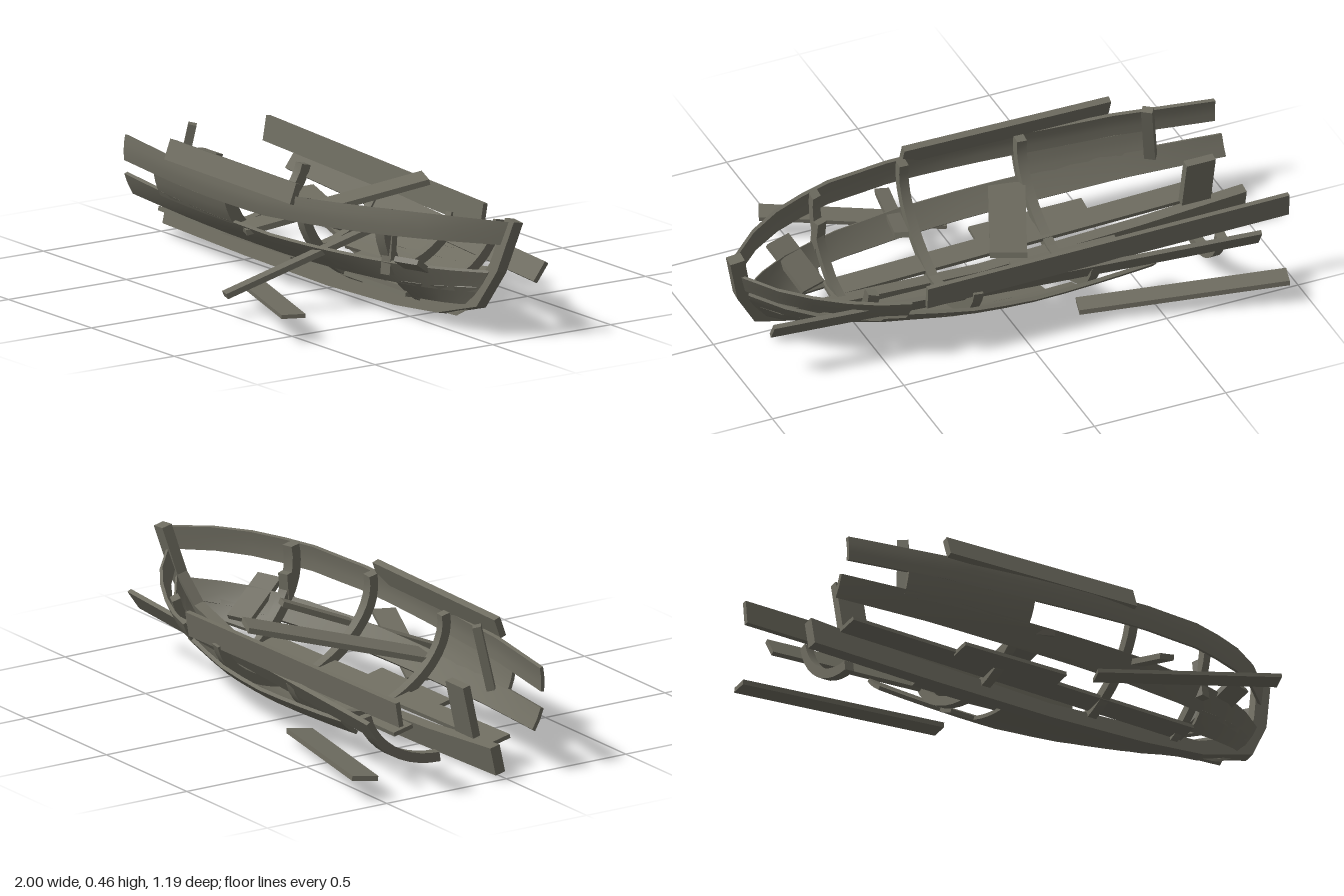
import * as THREE from 'three';
import { toCreasedNormals } from 'three/addons/utils/BufferGeometryUtils.js';

const wood = new THREE.MeshStandardMaterial({ color: 0x6e6c60, side: THREE.DoubleSide });
wood.name = 'weathered wood';

// piecewise linear lookup
function lookup(table, v) {
  for (let i = 1; i < table.length; i++) {
    const [a, fa] = table[i - 1], [b, fb] = table[i];
    if (v <= b) return fa + (fb - fa) * (v - a) / (b - a);
  }
  return table[table.length - 1][1];
}
const BEAM = [[0, 0.26], [0.2, 0.325], [0.4, 0.358], [0.5, 0.365], [0.61, 0.355], [0.76, 0.3], [0.86, 0.225], [0.94, 0.125], [1, 0.015]];
const SHEER = [[0, 0.32], [0.3, 0.3], [0.5, 0.305], [0.65, 0.335], [0.8, 0.37], [1, 0.42]];
const STEM = [[0, 0.72], [0.2, 0.85], [0.5, 0.92], [1, 0.97]];
const uAt = x => (x + 1) / 1.97;

// hull surface: u runs stern to bow, t runs keel to gunwale
function hull(u, t, side, inset) {
  const a = t * Math.PI / 2, s = Math.sin(a);
  const bow = Math.max(0, (u - 0.6) / 0.4) ** 3;
  const f = THREE.MathUtils.lerp(0.1 * s + 0.9 * (1 - Math.cos(a)), t, u ** 4);
  const w = lookup(BEAM, u) * s - inset * s;
  const h = 0.032 + (lookup(SHEER, u) - 0.032) * f + inset * Math.cos(a);
  return [-1 + 1.97 * u - (0.97 - lookup(STEM, t)) * bow, h, side * Math.max(w, 0)];
}

// solid slab that follows the hull; dip lowers it towards the bow
function strake(name, side, t0, t1, x0, x1, inset = 0, thick = 0.014, dip = 0) {
  const u0 = uAt(x0), u1 = uAt(x1), n = Math.max(1, Math.ceil((u1 - u0) * 16));
  const m = Math.max(2, Math.ceil((t1 - t0) * 10)), ring = 2 * (m + 1), pos = [], idx = [];
  for (let i = 0; i <= n; i++) {
    const u = u0 + (u1 - u0) * i / n, tAt = j => t0 + (t1 - t0) * j / m - dip * i / n;
    for (let j = 0; j <= m; j++) pos.push(...hull(u, tAt(j), side, inset));
    for (let j = m; j >= 0; j--) pos.push(...hull(u, tAt(j), side, inset + thick));
  }
  const quad = (a, b, c, d) => side > 0 ? idx.push(a, b, c, a, c, d) : idx.push(a, c, b, a, d, c);
  for (let i = 0; i < n; i++) for (let j = 0; j < ring; j++) {
    const k = (j + 1) % ring, p = i * ring;
    quad(p + j, p + ring + j, p + ring + k, p + k);
  }
  const e = n * ring;
  for (let j = 0; j < m; j++) {
    const k = ring - 1 - j;
    quad(j, j + 1, k - 1, k);
    quad(e + j, e + k, e + k - 1, e + j + 1);
  }
  const g = new THREE.BufferGeometry();
  g.setAttribute('position', new THREE.Float32BufferAttribute(pos, 3));
  g.setIndex(idx);
  const mesh = new THREE.Mesh(toCreasedNormals(g, 0.6), wood);
  mesh.name = name;
  return mesh;
}

// straight timber between two points
function timber(name, a, b, width, height, roll = 0) {
  const p = new THREE.Vector3(...a), q = new THREE.Vector3(...b);
  const mesh = new THREE.Mesh(new THREE.BoxGeometry(width, height, p.distanceTo(q)), wood);
  mesh.position.copy(p).add(q).multiplyScalar(0.5);
  mesh.lookAt(q);
  mesh.rotateZ(roll);
  mesh.name = name;
  return mesh;
}

export function createModel() {
  const model = new THREE.Group();
  model.name = 'wreckedBoat';

  // boat heeled over to one side
  const boat = new THREE.Group();
  boat.name = 'heeledHull';
  boat.rotation.x = -0.22;
  boat.position.set(0, 0.005, -0.02);
  model.add(boat);

  // keel and stem
  const profile = [[-1, 0.02], [-0.5, 0.006], [0, 0], [0.4, 0.012], [0.65, 0.035], [0.87, 0.1], [0.95, 0.24], [0.995, 0.425],
    [0.94, 0.43], [0.9, 0.26], [0.83, 0.16], [0.64, 0.09], [0, 0.06], [-0.6, 0.09], [-1, 0.125]];
  const keelGeo = new THREE.ExtrudeGeometry(new THREE.Shape(profile.map(p => new THREE.Vector2(...p))), { depth: 0.04, bevelEnabled: false });
  keelGeo.translate(0, 0, -0.02);
  const keel = new THREE.Mesh(keelGeo, wood);
  keel.name = 'keelAndStem';
  boat.add(keel);

  // surviving planking: side, t range, x range
  const planks = [
    ['leftSheerStrake', 1, 0.78, 1, -0.98, 0.965],
    ['leftMiddleStrake', 1, 0.45, 0.65, -1, 0.95, 0, 0.014, 0.14],
    ['leftPatch', 1, 0.58, 0.78, -0.75, -0.25],
    ['leftBowPlanking', 1, 0.18, 0.36, 0.58, 0.95],
    ['rightBottomPlanking', -1, 0.03, 0.42, -0.15, 0.96],
    ['rightBilgeStrake', -1, 0.42, 0.57, -0.25, 0.95],
    ['rightUpperStrake', -1, 0.57, 0.68, -0.52, 0.5],
    ['rightTopStrake', -1, 0.68, 0.77, -0.52, 0.42],
    ['rightSheerStrake', -1, 0.75, 0.94, 0.42, 0.965, 0, 0.014, 0.13],
  ];
  for (const p of planks) boat.add(strake(...p));

  // ribs
  for (const x of [-0.27, 0.18, 0.55]) for (const side of [1, -1])
    boat.add(strake('rib', side, 0, 1, x - 0.018, x + 0.018, 0.014, 0.035));
  // sprung stern rib
  const sternRib = strake('sternRib', -1, 0.05, 1, -0.79, -0.755, 0.014, 0.035);
  sternRib.rotation.y = -0.1;
  boat.add(sternRib);

  // floor boards and stern board
  boat.add(
    timber('floorBoard', [-0.9, 0.085, 0.085], [0.56, 0.075, 0.06], 0.08, 0.015),
    timber('sideFloorBoard', [-0.46, 0.075, 0.14], [-0.03, 0.075, 0.14], 0.07, 0.015),
    timber('shortFloorBoard', [-0.5, 0.07, -0.06], [-0.1, 0.07, -0.06], 0.08, 0.015),
    timber('sternBoard', [-0.815, 0.12, 0.01], [-0.815, 0.315, 0.01], 0.11, 0.03),
  );

  // rails, thwart and loose timbers
  model.add(
    timber('leftRail', [-0.61, 0.405, 0.237], [0.17, 0.405, 0.252], 0.025, 0.075, -0.35),
    timber('rightRail', [-0.99, 0.31, -0.44], [0.37, 0.275, -0.405], 0.018, 0.09, -0.15),
    timber('longSidePlank', [-0.87, 0.22, -0.465], [0.9, 0.2, -0.275], 0.016, 0.08, -0.6),
    timber('fallenThwart', [0.05, 0.35, -0.385], [-0.21, 0.2, 0.21], 0.13, 0.02),
    timber('leaningBeam', [0.31, 0.305, -0.06], [0.125, 0.075, 0.52], 0.05, 0.02),
    timber('leftLoosePlank', [-0.02, 0.05, 0.295], [0.58, 0.095, 0.55], 0.085, 0.014),
    timber('rightLoosePlank', [-0.94, 0.085, -0.55], [-0.23, 0.033, -0.347], 0.095, 0.018, 0.1),
    timber('sternPost', [-0.72, 0.23, 0.125], [-0.69, 0.46, 0.085], 0.04, 0.03),
    timber('bowPost', [0.55, 0.18, 0.13], [0.545, 0.32, 0.115], 0.04, 0.03),
    timber('bowBoard', [0.63, 0.15, -0.02], [0.69, 0.26, 0.15], 0.1, 0.02),
  );
  return model;
}
